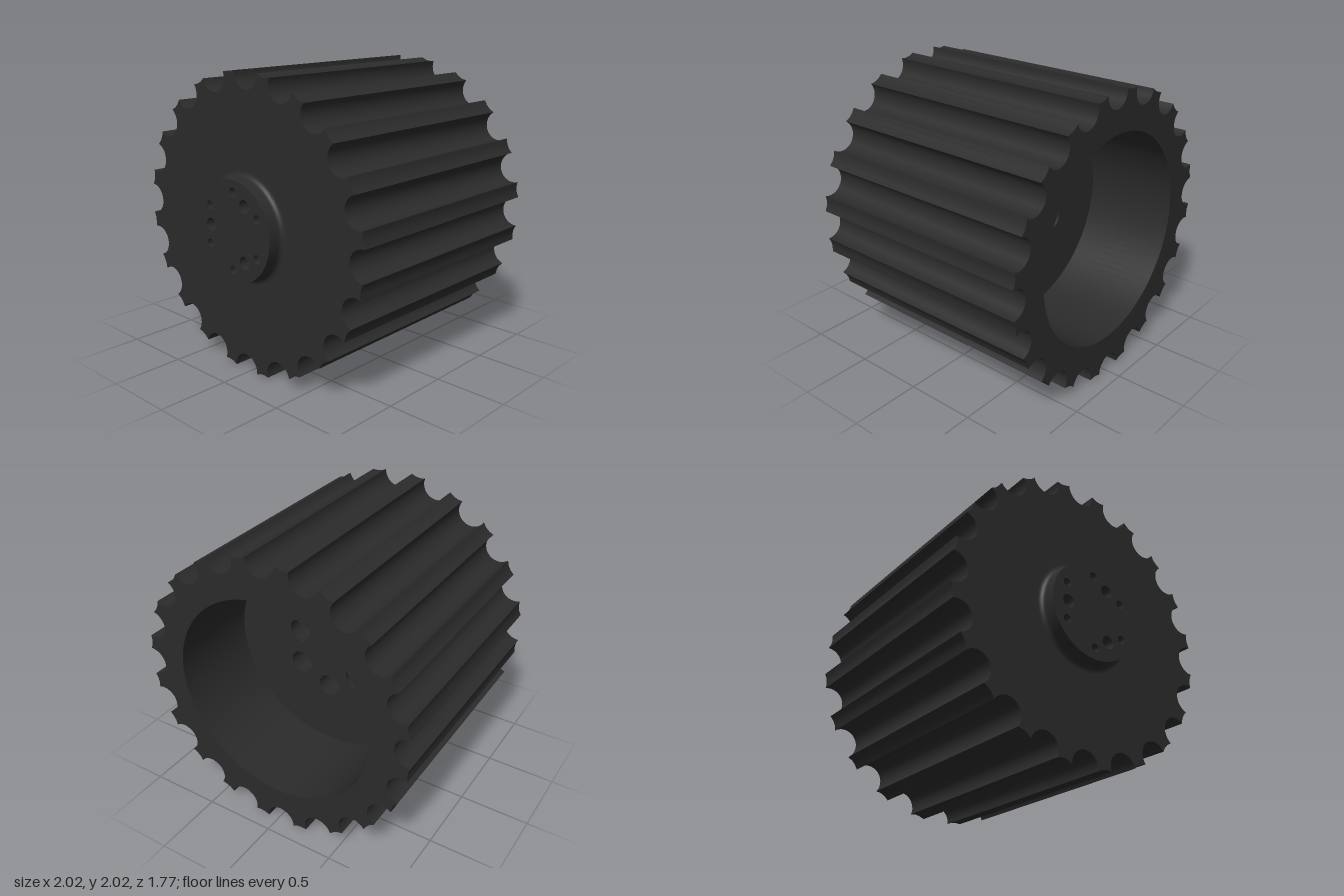
import * as THREE from 'three';
import { toCreasedNormals } from 'three/addons/utils/BufferGeometryUtils.js';

const TEETH = 20, TURN = -1.7 * Math.PI / 180;
const BACK = -0.885, FLOOR = -0.22, FACE = 0.775, FRONT = 0.885;
const HUB_R = 0.34, FILLET = 0.037, CAVITY_R = 0.73;
const BOLT_R = 0.26, BORE_R = 0.03, COUNTERBORE_R = 0.082;
const PIN_R = 0.215, PIN_HOLE_R = 0.045, SEAT = 0.7;

const material = new THREE.MeshStandardMaterial({ color: 0x2b2b2b });

function mesh(name, geometry) {
  const m = new THREE.Mesh(geometry, material);
  m.name = name;
  return m;
}

// Profile of [radius, z] points turned about the z axis
function turned(name, profile, segments) {
  const g = new THREE.LatheGeometry(profile.map(([r, z]) => new THREE.Vector2(r, z)), segments);
  g.rotateX(Math.PI / 2);
  return mesh(name, toCreasedNormals(g, 0.6));
}

// Flat face at a given z, optionally facing backwards
function flat(name, shape, z, backwards = false) {
  const g = new THREE.ShapeGeometry(shape, 48);
  g.translate(0, 0, z);
  if (backwards) {
    g.setIndex(Array.from(g.index.array).reverse());
    g.computeVertexNormals();
  }
  return mesh(name, g);
}

function disc(radius) {
  return new THREE.Shape().absarc(0, 0, radius, 0, Math.PI * 2, false);
}

function cutHole(shape, x, y, r) {
  shape.holes.push(new THREE.Path().absarc(x, y, r, 0, Math.PI * 2, true));
}

// Evenly spaced positions on a circle
function ring(count, radius, start) {
  return Array.from({ length: count }, (_, i) => {
    const a = start + i * Math.PI * 2 / count;
    return [radius * Math.cos(a), radius * Math.sin(a)];
  });
}

// Outline: a circle with round scoops between narrow lands
function outline() {
  const pts = [], scoop = 0.105, half = 2 * Math.asin(scoop / 2);
  const pitch = Math.PI * 2 / TEETH, sweep = Math.PI / 2 + half / 2, n = 16;
  for (let t = 0; t < TEETH; t++) {
    const a = TURN + t * pitch;
    for (let i = 0; i <= n; i++) {
      const b = a + Math.PI + sweep * (1 - 2 * i / n) - 0;
      pts.push(new THREE.Vector2(Math.cos(a) + scoop * Math.cos(b), Math.sin(a) + scoop * Math.sin(b)));
    }
    for (let i = 1; i < 3; i++) {
      const b = a + half + (pitch - 2 * half) * i / 3;
      pts.push(new THREE.Vector2(Math.cos(b), Math.sin(b)));
    }
  }
  return pts;
}

// Open wall following a counter-clockwise outline
function wall(name, pts, z0, z1) {
  const pos = [], index = [], n = pts.length;
  pts.forEach((p, i) => {
    const j = (i + 1) % n;
    pos.push(p.x, p.y, z0, p.x, p.y, z1);
    index.push(2 * i, 2 * j, 2 * j + 1, 2 * i, 2 * j + 1, 2 * i + 1);
  });
  const g = new THREE.BufferGeometry();
  g.setAttribute('position', new THREE.Float32BufferAttribute(pos, 3));
  g.setIndex(index);
  return mesh(name, toCreasedNormals(g, 0.6));
}

export function createModel() {
  const model = new THREE.Group();
  model.name = 'scallopedRoller';
  const body = new THREE.Group();
  body.name = 'body';
  body.position.y = 1;
  model.add(body);

  // Scalloped drum
  const pts = outline();
  const frontFace = new THREE.Shape(pts), backFace = new THREE.Shape(pts);
  cutHole(frontFace, 0, 0, HUB_R + FILLET);
  cutHole(backFace, 0, 0, CAVITY_R);
  body.add(
    wall('scallopedWall', pts, BACK, FACE),
    flat('frontFace', frontFace, FACE),
    flat('backRim', backFace, BACK, true),
    turned('cavityWall', [[CAVITY_R, FLOOR], [CAVITY_R, BACK]], 96)
  );

  // Raised hub with a rounded foot
  const hub = [];
  for (let i = 0; i <= 6; i++) {
    const a = -Math.PI / 2 * (1 + i / 6);
    hub.push([HUB_R + FILLET + FILLET * Math.cos(a), FACE + FILLET + FILLET * Math.sin(a)]);
  }
  hub.push([HUB_R, FRONT]);
  body.add(turned('hubSide', hub, 96));

  // Hub face and cavity floor, pierced by the holes
  const hubFace = disc(HUB_R), floor = disc(CAVITY_R);
  const start = TURN + Math.PI / 2;

  // Six stepped bolt holes running right through
  for (const [x, y] of ring(6, BOLT_R, start)) {
    cutHole(hubFace, x, y, BORE_R);
    cutHole(floor, x, y, COUNTERBORE_R);
    const hole = turned('boltHole',
      [[BORE_R, FRONT], [BORE_R, SEAT], [COUNTERBORE_R, SEAT], [COUNTERBORE_R, FLOOR]], 48);
    hole.position.set(x, y, 0);
    body.add(hole);
  }

  // Three blind pin holes in the hub face
  for (const [x, y] of ring(3, PIN_R, start - Math.PI / 6)) {
    cutHole(hubFace, x, y, PIN_HOLE_R);
    const hole = turned('pinHole', [[PIN_HOLE_R, FRONT], [PIN_HOLE_R, SEAT], [0, SEAT]], 48);
    hole.position.set(x, y, 0);
    body.add(hole);
  }
  body.add(flat('hubFace', hubFace, FRONT), flat('cavityFloor', floor, FLOOR, true));
  return model;
}
